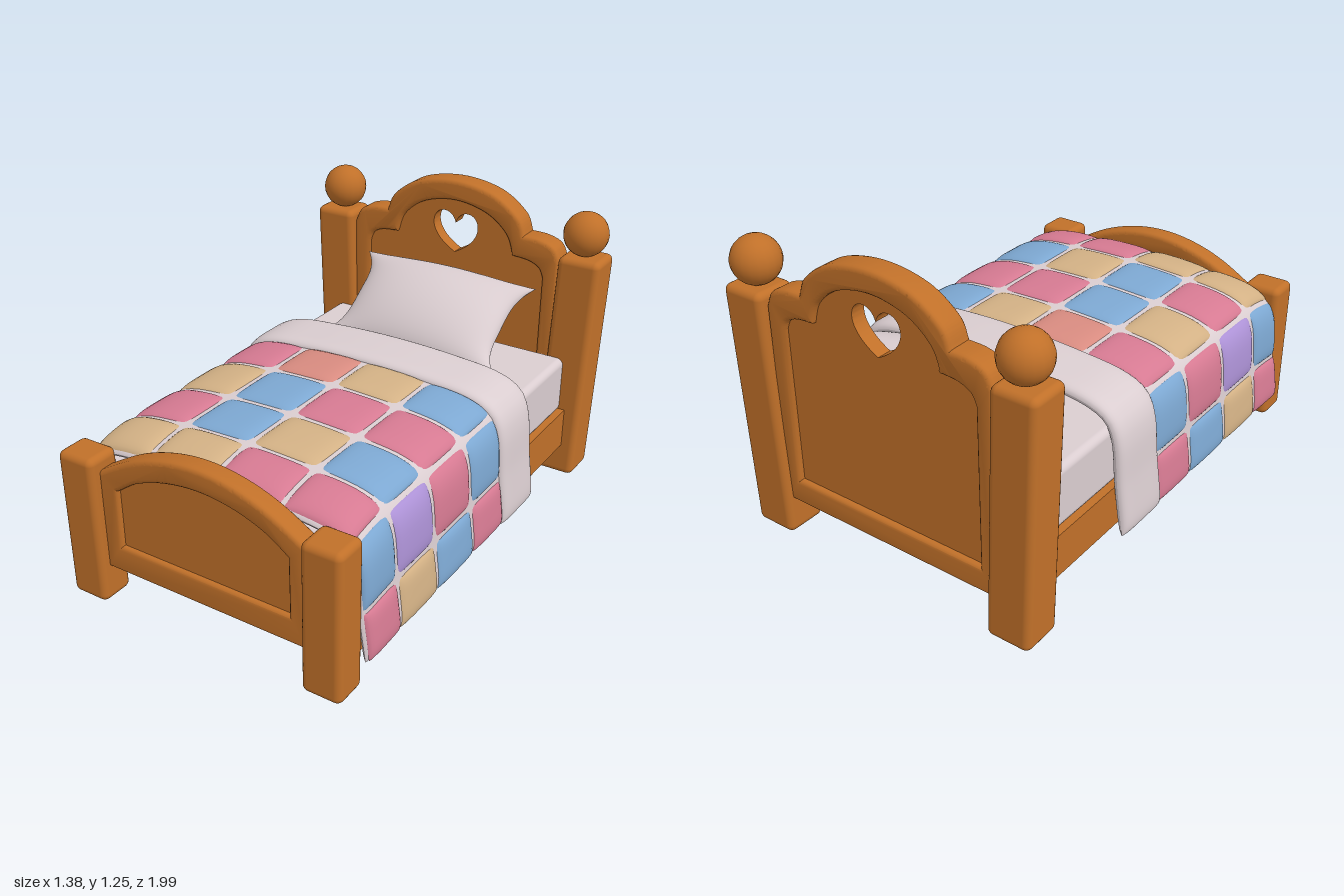
import * as THREE from 'three';
import { toCreasedNormals } from 'three/addons/utils/BufferGeometryUtils.js';
import { RoundedBoxGeometry } from 'three/addons/geometries/RoundedBoxGeometry.js';

const material = (name, color) => new THREE.MeshStandardMaterial({ name, color });
const V2 = (x, y) => new THREE.Vector2(x, y);

function add(parent, name, geometry, mat, x = 0, y = 0, z = 0) {
  const mesh = new THREE.Mesh(geometry, mat);
  mesh.name = name;
  mesh.position.set(x, y, z);
  parent.add(mesh);
  return mesh;
}

// Smooth sheet from f(u, v, side), points packed towards the edges; side -1 faces the other way
function sheet(f, n, m, sides) {
  const pos = [], index = [];
  const ease = (i, k) => 0.5 - 0.5 * Math.cos(Math.PI * i / k);
  for (const side of sides) {
    const start = pos.length / 3;
    for (let i = 0; i <= n; i++) {
      for (let j = 0; j <= m; j++) pos.push(...f(ease(i, n), ease(j, m), side));
    }
    for (let i = 0; i < n; i++) {
      for (let j = 0; j < m; j++) {
        const a = start + i * (m + 1) + j, b = a + m + 1;
        if (side > 0) index.push(a, a + 1, b, b, a + 1, b + 1);
        else index.push(a, b, a + 1, b, b + 1, a + 1);
      }
    }
  }
  const g = new THREE.BufferGeometry();
  g.setAttribute('position', new THREE.Float32BufferAttribute(pos, 3));
  g.setIndex(index);
  g.computeVertexNormals();
  return g;
}

// Symmetrical board outline: straight sides, optional shoulders, then a crown
function outline(shape, w, bottom, sideTop, shoulder, crown) {
  const mirror = pts => pts.map(([x, y]) => V2(-x, y)).reverse();
  const right = pts => pts.map(([x, y]) => V2(x, y));
  shape.moveTo(-w, bottom);
  shape.lineTo(w, bottom);
  shape.lineTo(w, sideTop);
  if (shoulder.length) shape.splineThru(right(shoulder));
  shape.splineThru([...right(crown), ...mirror(crown.slice(0, -1)),
    shoulder.length ? V2(-shoulder.at(-1)[0], shoulder.at(-1)[1]) : V2(-w, sideTop)]);
  if (shoulder.length) shape.splineThru([...mirror(shoulder.slice(0, -1)), V2(-w, sideTop)]);
  return shape;
}

function extrude(shape, depth, bevel) {
  const g = new THREE.ExtrudeGeometry(shape, {
    depth: depth - 2 * bevel, curveSegments: 20, bevelEnabled: bevel > 0,
    bevelThickness: bevel, bevelSize: bevel, bevelOffset: -bevel, bevelSegments: 3,
  });
  g.translate(0, 0, -depth / 2 + bevel);
  return toCreasedNormals(g, 0.6);
}

// Raised frame around a thinner inset panel
function board(parent, name, outer, inner, depth, panelDepth, z, mat, hole) {
  const frame = outline(new THREE.Shape(), ...outer);
  frame.holes.push(outline(new THREE.Path(), ...inner));
  const panel = outline(new THREE.Shape(), ...inner);
  if (hole) panel.holes.push(hole);
  add(parent, name + 'Frame', extrude(frame, depth, 0.018), mat, 0, 0, z);
  add(parent, name + 'Panel', extrude(panel, panelDepth, 0), mat, 0, 0, z);
}

// Rounded post standing on the floor, leaning outwards by lean
function post(w, h, d, lean) {
  const g = new RoundedBoxGeometry(w, h, d, 3, 0.028);
  const p = g.attributes.position;
  for (let i = 0; i < p.count; i++) p.setX(i, p.getX(i) + lean * p.getY(i) / h);
  return g.translate(0, h / 2, 0);
}

export function createModel() {
  const bed = new THREE.Group();
  bed.name = 'bed';
  const wood = material('wood', 0xc07029);
  const linen = material('linen', 0xdacdd0);
  const cloth = {
    P: material('pink', 0xd67a92), B: material('blue', 0x7da8d2), T: material('tan', 0xd3b185),
    V: material('purple', 0xad92d6), S: material('salmon', 0xd88b80),
  };

  // Posts and ball finials
  for (const s of [-1, 1]) {
    add(bed, 'headPost', post(0.185, 1.015, 0.172, s * 0.036), wood, s * 0.582, 0, -0.9);
    add(bed, 'ballFinial', new THREE.SphereGeometry(0.095, 20, 14), wood, s * 0.592, 1.105, -0.9);
    add(bed, 'footPost', post(0.165, 0.62, 0.145, s * 0.006), wood, s * 0.532, 0, 0.925);
  }

  // Headboard with a heart cut-out
  const heart = new THREE.Path();
  heart.moveTo(0, 0.915);
  heart.bezierCurveTo(0.06, 0.945, 0.108, 0.99, 0.108, 1.04);
  heart.bezierCurveTo(0.108, 1.11, 0.02, 1.12, 0, 1.05);
  heart.bezierCurveTo(-0.02, 1.12, -0.108, 1.11, -0.108, 1.04);
  heart.bezierCurveTo(-0.108, 0.99, -0.06, 0.945, 0, 0.915);
  board(bed, 'headboard',
    [0.505, 0.145, 0.97, [[0.475, 1.03], [0.41, 1.056], [0.335, 1.06]],
      [[0.3, 1.135], [0.18, 1.215], [0, 1.245]]],
    [0.43, 0.25, 0.89, [[0.41, 0.93], [0.36, 0.953], [0.285, 0.96]],
      [[0.25, 1.05], [0.15, 1.125], [0, 1.155]]],
    0.11, 0.06, -0.9, wood, heart);

  // Footboard
  board(bed, 'footboard',
    [0.46, 0.145, 0.56, [], [[0.3, 0.65], [0.15, 0.7], [0, 0.717]]],
    [0.375, 0.262, 0.5, [], [[0.28, 0.562], [0.15, 0.607], [0, 0.625]]],
    0.09, 0.05, 0.91, wood);

  // Base with side rails, and mattress
  add(bed, 'bedBase', new THREE.BoxGeometry(1.2, 0.175, 1.76), wood, 0, 0.2325, 0.02);
  add(bed, 'mattress', new RoundedBoxGeometry(1.15, 0.25, 1.7, 3, 0.03), linen, 0, 0.436, 0.015);

  // Pillow leaning on the headboard
  const pillow = sheet((a, b, side) => {
    const u = 2 * a - 1, v = 2 * b - 1;
    const puff = 0.115 * Math.pow(Math.max(0, (1 - u * u) * (1 - v * v)), 0.5);
    const corner = 0.018 * Math.pow(Math.abs(u * v), 4);
    return [u * (0.35 + 0.05 * v ** 4 + corner), -v * (0.232 - 0.025 * u * u + corner), side * puff];
  }, 32, 24, [1, -1]);
  add(bed, 'pillow', pillow, linen, 0, 0.715, -0.645).rotation.x = -0.96;

  // Cross-section of the draped bedding, left hem to right hem
  const half = [[0.28, 0.645], [0.48, 0.622], [0.555, 0.585], [0.585, 0.52], [0.605, 0.33], [0.632, 0.125]];
  const drape = new THREE.CatmullRomCurve3([
    ...half.map(([x, y]) => [-x, y]).reverse(), [0, 0.655], ...half,
  ].map(([x, y]) => new THREE.Vector3(x, y, 0)));
  drape.arcLengthDivisions = 800;

  // Padded cloth lying on the drape between s0..s1 and z0..z1
  function pad(s0, s1, z0, z1, lift, thick, pu, pv, n, m, sides) {
    const round = (t, p) => Math.pow(Math.max(0, 1 - Math.abs(2 * t - 1) ** p), 1 / 2);
    return sheet((u, v, side) => {
      const s = s0 + (s1 - s0) * u, z = z0 + (z1 - z0) * v;
      const c = drape.getPointAt(s), t = drape.getTangentAt(s);
      const h = lift + side * thick * round(u, pu) * round(v, pv);
      const sink = 1 - 0.05 * Math.max(0, (z - 0.65) / 0.21) ** 2;
      return [c.x - t.y * h, (c.y + t.x * h) * sink, z];
    }, n, m, sides);
  }
  add(bed, 'quiltLining', pad(0, 1, -0.16, 0.87, 0, 0.02, 40, 30, 90, 30, [1, -1]), linen);
  add(bed, 'foldedSheet', pad(0, 1, -0.39, -0.13, 0.014, 0.03, 40, 6, 90, 20, [1, -1]), linen);

  // Position along the drape where it reaches a given x on the right half
  function along(x) {
    let lo = 0.5, hi = 1;
    for (let i = 0; i < 30; i++) {
      const mid = (lo + hi) / 2;
      if (drape.getPointAt(mid).x < x) lo = mid; else hi = mid;
    }
    return lo;
  }

  // Quilt patches: each row runs left hem to right hem, rows go from head to foot
  const rightEdges = [0.29, 0.558, 0.605].map(along).concat(1);
  const edges = [...rightEdges.map(s => 1 - s).reverse(), 0.5, ...rightEdges];
  const rows = [-0.14, 0.11, 0.39, 0.655, 0.865];
  const pattern = ['PBPSTBBP', 'BPTBPPPB', 'TVPBTBVT', 'PBTTPPBP'];
  pattern.forEach((row, r) => [...row].forEach((key, c) => {
    const gap = 0.0015;
    add(bed, 'quiltPatch', pad(edges[c] + gap, edges[c + 1] - gap, rows[r] + 0.003, rows[r + 1] - 0.003,
      0.01, 0.026, 4, 4, 14, 14, [1]), cloth[key]);
  }));

  return bed;
}
